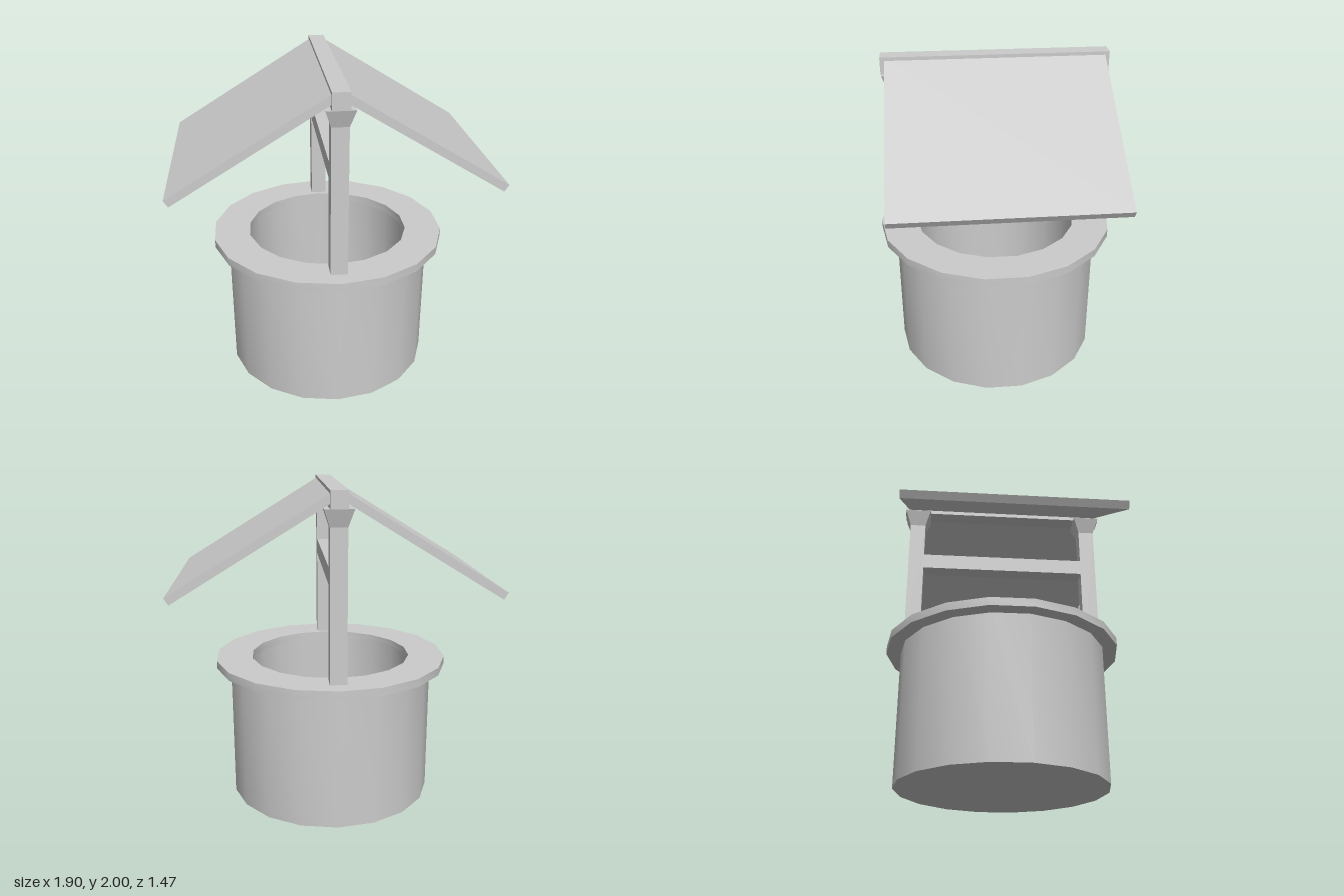
import * as THREE from 'three';
import { toCreasedNormals } from 'three/addons/utils/BufferGeometryUtils.js';

const SIDES = 18;
const material = new THREE.MeshStandardMaterial({ color: 0xcccccc });

function add(parent, name, geometry, x = 0, y = 0, z = 0) {
  const mesh = new THREE.Mesh(geometry, material);
  mesh.name = name;
  mesh.position.set(x, y, z);
  parent.add(mesh);
  return mesh;
}

// Revolve an [radius, height] profile with smooth sides and sharp rims
function turned(profile) {
  const points = profile.map(([r, y]) => new THREE.Vector2(r, y));
  return toCreasedNormals(new THREE.LatheGeometry(points, SIDES), 0.6);
}

export function createModel() {
  const well = new THREE.Group();
  well.name = 'well';

  // Hollow round wall with a closed bottom
  add(well, 'wall', turned([
    [0, 0], [0.645, 0], [0.645, 0.87], [0.507, 0.87], [0.507, 0.05], [0, 0.05],
  ]));

  // Overhanging coping ring
  add(well, 'rim', turned([
    [0.507, 0.855], [0.735, 0.855], [0.735, 0.905], [0.507, 0.905], [0.507, 0.855],
  ]));

  // Front and back posts with flared heads
  const head = new THREE.CylinderGeometry(0.083 * Math.SQRT2, 0.05 * Math.SQRT2, 0.1, 4);
  head.rotateY(Math.PI / 4);
  const flatHead = toCreasedNormals(head, 0.3);
  for (const [side, z] of [['front', 0.58], ['back', -0.58]]) {
    add(well, side + 'Post', new THREE.BoxGeometry(0.1, 0.92, 0.1), 0, 1.34, z);
    add(well, side + 'PostHead', flatHead, 0, 1.85, z);
  }

  // Crossbar between the posts, and the ridge beam on top
  add(well, 'crossbar', new THREE.BoxGeometry(0.1, 0.1, 1.08), 0, 1.52, 0);
  add(well, 'ridgeBeam', new THREE.BoxGeometry(0.1, 0.1, 1.335), 0, 1.95, 0);

  // Two sloping roof panels tucked into the ridge beam
  const slope = Math.atan2(0.55, 0.9);
  const length = 1.08;
  const thickness = 0.047;
  for (const [name, s] of [['leftRoofPanel', 1], ['rightRoofPanel', -1]]) {
    const pivot = new THREE.Group();
    pivot.position.set(s * 0.95, 1.43, 0); // upper eave edge
    pivot.rotation.z = -s * slope;
    well.add(pivot);
    add(pivot, name, new THREE.BoxGeometry(length, thickness, 1.285), -s * length / 2, -thickness / 2, 0);
  }

  return well;
}
